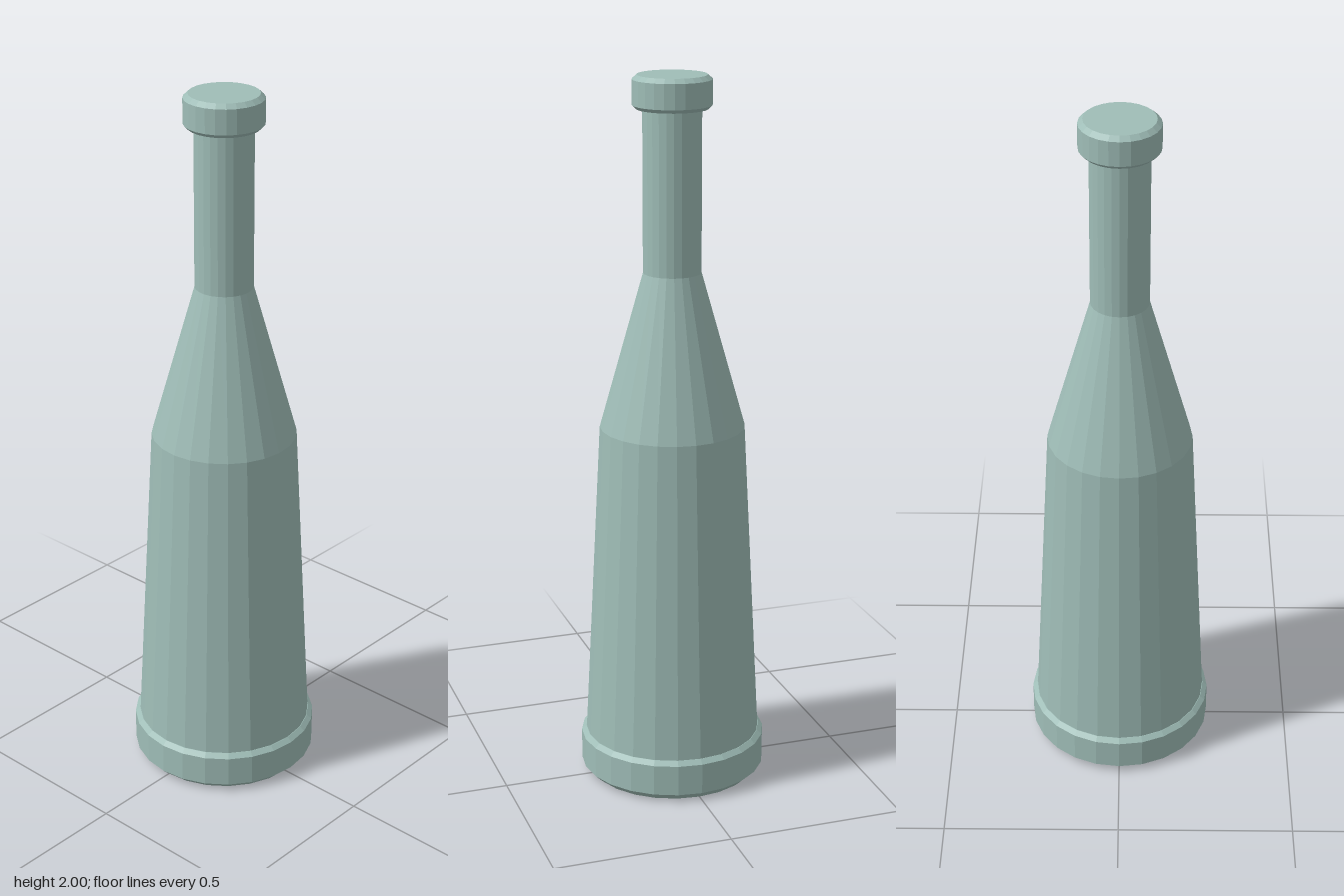
import * as THREE from 'three';

const SIDES = 24;

// Faceted solid of revolution; profile is [radius, y] from bottom to top.
function turned(name, profile, material) {
  const points = profile.map(([r, y]) => new THREE.Vector2(r, y));
  const mesh = new THREE.Mesh(new THREE.LatheGeometry(points, SIDES), material);
  mesh.name = name;
  return mesh;
}

export function createModel() {
  const group = new THREE.Group();
  group.name = 'bottle';
  const glass = new THREE.MeshStandardMaterial({ color: 0x9fbdb7, flatShading: true });

  // Chamfered foot ring with a closed underside
  group.add(turned('base', [
    [0, 0], [0.24, 0], [0.263, 0.022], [0.263, 0.11], [0.25, 0.122], [0, 0.122],
  ], glass));

  // Tapering body, sloping shoulder and straight neck
  group.add(turned('body', [
    [0.249, 0.115], [0.202, 1.03], [0.08, 1.465], [0.08, 1.915],
  ], glass));

  // Chamfered stopper closing the neck
  group.add(turned('cap', [
    [0, 1.91], [0.098, 1.91], [0.108, 1.92], [0.108, 1.988], [0.095, 2], [0, 2],
  ], glass));

  return group;
}
